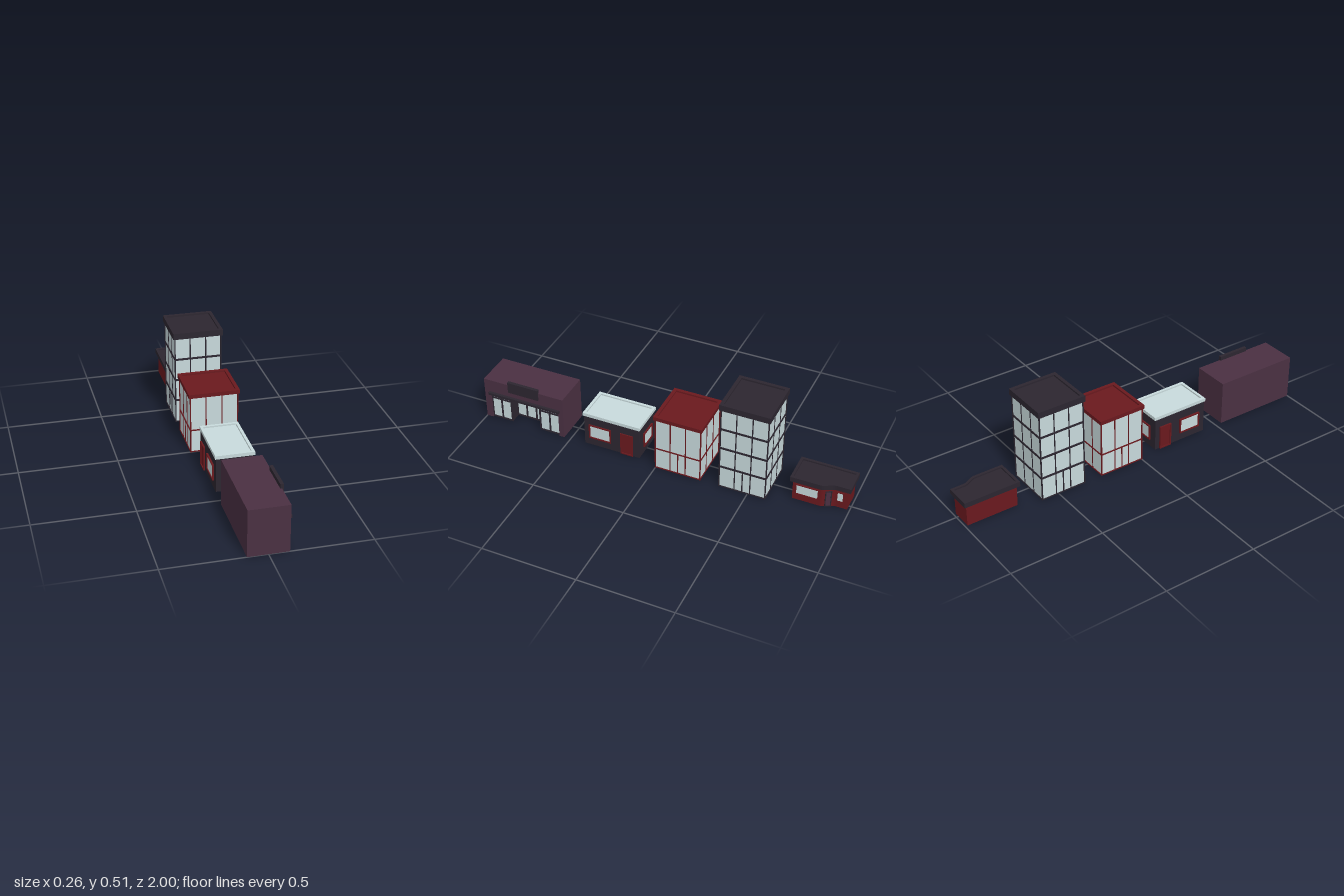
import * as THREE from 'three';

const mat = (color) => new THREE.MeshStandardMaterial({ color, flatShading: true });
const DARK = mat(0x2c2630), RED = mat(0x6a191e), GLASS = mat(0xc8dadc), PURPLE = mat(0x4a3042);

// Box given by its extents
function box(parent, name, m, x0, x1, y0, y1, z0, z1) {
  const mesh = new THREE.Mesh(new THREE.BoxGeometry(x1 - x0, y1 - y0, z1 - z0), m);
  mesh.position.set((x0 + x1) / 2, (y0 + y1) / 2, (z0 + z1) / 2);
  mesh.name = name;
  parent.add(mesh);
  return mesh;
}

// Floor plan (x, z points) raised from y0 to y1, optionally with a hole
function prism(parent, name, m, plan, y0, y1, hole) {
  const toV = (p) => p.map(([x, z]) => new THREE.Vector2(x, -z));
  const shape = new THREE.Shape(toV(plan));
  if (hole) shape.holes.push(new THREE.Path(toV(hole)));
  const geo = new THREE.ExtrudeGeometry(shape, { depth: y1 - y0, bevelEnabled: false });
  geo.rotateX(-Math.PI / 2).translate(0, y0, 0);
  const mesh = new THREE.Mesh(geo, m);
  mesh.name = name;
  parent.add(mesh);
}

const rect = (x0, x1, z0, z1) => (i) =>
  [[x0 + i, z1 - i], [x1 - i, z1 - i], [x1 - i, z0 + i], [x0 + i, z0 + i]];

// Flat roof with a raised rim
function roof(parent, m, plan, y0, y1, rim, sink) {
  prism(parent, 'roofRim', m, plan(0), y0, y1, plan(rim));
  prism(parent, 'roofDeck', m, plan(rim), y0, y1 - sink);
}

// Framed panel (window or door) whose outside faces its local +z
function panel(parent, name, frameMat, fillMat, w, h, x, y, z, turn, t = 0.007, d = 0.008) {
  const g = new THREE.Group();
  g.name = name;
  for (const s of [-1, 1]) {
    const cx = s * (w - t) / 2, cy = s * (h - t) / 2;
    box(g, 'frameSide', frameMat, cx - t / 2, cx + t / 2, -h / 2, h / 2, -d, d);
    box(g, 'frameRail', frameMat, -w / 2 + t, w / 2 - t, cy - t / 2, cy + t / 2, -d, d);
  }
  box(g, 'pane', fillMat, -w / 2 + t, w / 2 - t, -h / 2 + t, h / 2 - t, -d, d * 0.4);
  g.position.set(x, y, z);
  g.rotation.y = turn;
  parent.add(g);
}

// Square glazed block with a grid of bars and doors on both x sides
function glassBlock(name, m, zc, wallTop, top, bands) {
  const g = new THREE.Group();
  g.name = name;
  const R = 0.121, B = 0.125, t = 0.0028;
  box(g, 'glassWalls', GLASS, -R, R, 0.004, wallTop, -R, R);
  box(g, 'floorSlab', m, -B, B, 0, 0.005, -B, B);
  for (const x of [-1, 1]) for (const z of [-1, 1]) {
    const cx = x * 0.1225, cz = z * 0.1225;
    box(g, 'cornerPost', m, cx - t, cx + t, 0, wallTop, cz - t, cz + t);
  }
  for (const p of [-0.0415, 0.0415]) {
    box(g, 'mullion', m, p - t, p + t, 0, wallTop, -R - 0.002, R + 0.002);
    box(g, 'mullion', m, -R - 0.002, R + 0.002, 0, wallTop, p - t, p + t);
  }
  for (const [y, h] of bands) box(g, 'floorBand', m, -B, B, y - h, y + h, -B, B);
  for (const s of [-1, 1]) {
    const cx = s * 0.121;
    box(g, 'doorMullion', m, cx - 0.003, cx + 0.003, 0, bands[0][0], -t, t);
  }
  roof(g, m, rect(-0.132, 0.132, -0.131, 0.131), wallTop, top, 0.018, 0.009);
  g.position.z = zc;
  return g;
}

// Long shop with a recessed glazed front on +x
function shop() {
  const g = new THREE.Group();
  g.name = 'shop';
  const z0 = 0.536, z1 = 1, a = 0.565, b = 0.965, top = 0.168, w = (b - a) / 7;
  const r0 = a + 2 * w, r1 = a + 5 * w, front = 0.085, back = 0.025;
  prism(g, 'lowerWalls', PURPLE, [[-0.1, z1], [0.1, z1], [0.1, b], [front, b], [front, r1],
    [back, r1], [back, r0], [front, r0], [front, a], [0.1, a], [0.1, z0], [-0.1, z0]], 0, top);
  box(g, 'upperWalls', PURPLE, -0.1, 0.1, top, 0.241, z0, z1);
  box(g, 'recessCeiling', DARK, back, front, top - 0.004, top, r0, r1);
  box(g, 'recessSide', DARK, back, front, 0, top, r0 - 0.002, r0 + 0.002);
  box(g, 'recessSide', DARK, back, front, 0, top, r1 - 0.002, r1 + 0.002);
  // Glazing bays: two front, three recessed, two front
  for (let i = 0; i < 7; i++) {
    const x = i > 1 && i < 5 ? back : front, za = a + i * w, zb = za + w;
    box(g, 'shopPane', GLASS, x, x + 0.003, 0.005, top, za, zb);
    box(g, 'transom', DARK, x, x + 0.007, 0.121, 0.13, za, zb);
    box(g, 'sill', DARK, x, x + 0.007, 0, 0.008, za, zb);
    for (const z of [za, zb]) box(g, 'mullion', DARK, x, x + 0.008, 0, top, z - 0.004, z + 0.004);
  }
  box(g, 'canopyBeam', DARK, 0.08, 0.115, 0.155, 0.168, 0.556, 0.972);
  box(g, 'signBoard', DARK, 0.092, 0.109, 0.2, 0.263, 0.677, 0.853);
  return g;
}

// Dark single-storey house
function house() {
  const g = new THREE.Group();
  g.name = 'house';
  box(g, 'walls', DARK, -0.096, 0.092, 0, 0.182, 0.105, 0.417);
  roof(g, GLASS, rect(-0.1, 0.098, 0.1, 0.422), 0.18, 0.198, 0.015, 0.008);
  for (const [s, x, wz, dz] of [[1, 0.09, 0.328, 0.176], [-1, -0.097, 0.32, 0.166]]) {
    panel(g, 'sideWindow', RED, GLASS, 0.125, 0.085, x, 0.087, wz, s * Math.PI / 2);
    panel(g, 'door', RED, RED, 0.07, 0.13, x, 0.065, dz, s * Math.PI / 2);
  }
  panel(g, 'frontWindow', RED, GLASS, 0.1, 0.085, -0.005, 0.083, 0.417, 0);
  panel(g, 'backWindow', RED, GLASS, 0.1, 0.085, -0.005, 0.083, 0.105, Math.PI);
  return g;
}

// Small kiosk with an S-shaped step in its +x wall
function kiosk() {
  const g = new THREE.Group();
  g.name = 'kiosk';
  const plan = (i) => {
    const p = new THREE.Path();
    p.moveTo(-0.098 + i, -0.698 - i);
    p.lineTo(0.071 - i, -0.698 - i);
    p.lineTo(0.071 - i, -0.855);
    p.bezierCurveTo(0.071 - i, -0.875, 0.042 - i, -0.905, 0.042 - i, -0.928);
    p.lineTo(0.042 - i, -1 + i);
    p.lineTo(-0.098 + i, -1 + i);
    return p.getPoints(8).map((v) => [v.x, v.y]);
  };
  prism(g, 'walls', RED, plan(0.013), 0, 0.118);
  roof(g, DARK, plan, 0.115, 0.142, 0.014, 0.008);
  panel(g, 'largeWindow', RED, GLASS, 0.12, 0.062, 0.057, 0.067, -0.786, Math.PI / 2, 0.005, 0.005);
  panel(g, 'smallWindow', RED, GLASS, 0.038, 0.06, 0.029, 0.067, -0.947, Math.PI / 2, 0.005, 0.005);
  panel(g, 'door', DARK, PURPLE, 0.033, 0.096, 0.0435, 0.048, -0.891, 2.06, 0.005, 0.004);
  return g;
}

export function createModel() {
  const model = new THREE.Group();
  model.name = 'townBuildings';
  model.add(
    shop(),
    house(),
    glassBlock('redGlassBlock', RED, -0.122, 0.307, 0.328, [[0.124, 0.003]]),
    glassBlock('darkGlassTower', DARK, -0.47, 0.479, 0.512, [[0.128, 0.005], [0.245, 0.005], [0.362, 0.005]]),
    kiosk(),
  );
  return model;
}
